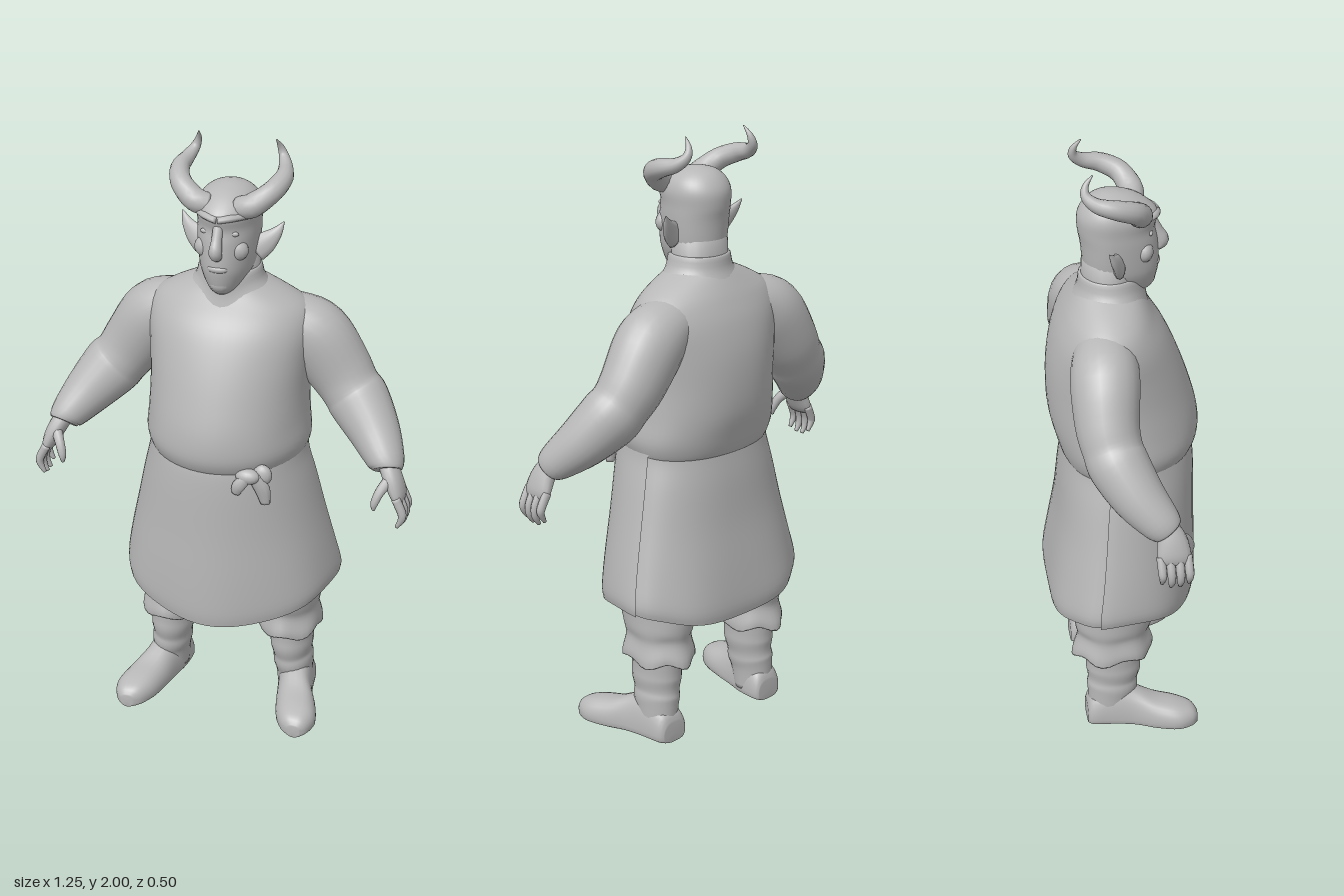
import * as THREE from 'three';

const TAU = Math.PI * 2;
const clay = new THREE.MeshStandardMaterial({ color: 0xb8b8b8, side: THREE.DoubleSide });
clay.name = 'clay grey';

// Smoothly resample a table of equally long rows (Catmull-Rom per column)
function smooth(rows, sub) {
  const out = [], at = i => rows[Math.max(0, Math.min(rows.length - 1, i))];
  for (let i = 0; i < rows.length - 1; i++)
    for (let s = 0; s < sub; s++) {
      const t = s / sub;
      out.push(rows[i].map((b, k) => {
        const a = at(i - 1)[k], c = at(i + 1)[k], d = at(i + 2)[k];
        return b + 0.5 * t * (c - a + t * (2 * a - 5 * b + 4 * c - d + t * (3 * (b - c) + d - a)));
      }));
    }
  out.push(rows[rows.length - 1]);
  return out;
}

// Skin rings of points; point(row, angle, index) gives [x, y, z]
function loft(rows, point, n = 32, { from = 0, to = TAU, caps = true } = {}) {
  const m = to - from > 6.28 ? n : n + 1;
  const pos = [], idx = [];
  rows.forEach((r, i) => {
    for (let j = 0; j < m; j++) pos.push(...point(r, from + (to - from) * j / n, i));
  });
  for (let i = 0; i < rows.length - 1; i++)
    for (let j = 0; j < n; j++) {
      const a = i * m + j, b = i * m + (j + 1) % m;
      idx.push(a, b, a + m, b, b + m, a + m);
    }
  const cap = (row, flip) => {
    const c = pos.length / 3, mid = [0, 0, 0];
    for (let j = 0; j < m; j++) for (let k = 0; k < 3; k++) mid[k] += pos[(row * m + j) * 3 + k] / m;
    pos.push(...mid);
    for (let j = 0; j < n; j++) {
      const a = row * m + j, b = row * m + (j + 1) % m;
      idx.push(c, flip ? b : a, flip ? a : b);
    }
  };
  if (caps) {
    cap(0, true);
    cap(rows.length - 1, false);
  }
  const g = new THREE.BufferGeometry();
  g.setAttribute('position', new THREE.Float32BufferAttribute(pos, 3));
  g.setIndex(idx);
  g.computeVertexNormals();
  return g;
}

// Tapered limb: rows are [x, y, z, side radius, radius along ref]
function limb(table, n = 16, ref = [0, 0, 1]) {
  const rows = smooth(table, 4);
  const P = rows.map(r => new THREE.Vector3(r[0], r[1], r[2]));
  const frames = P.map((p, i) => {
    const t = P[Math.min(i + 1, P.length - 1)].clone().sub(P[Math.max(i - 1, 0)]).normalize();
    const v = new THREE.Vector3(...ref);
    v.addScaledVector(t, -v.dot(t)).normalize();
    return { u: t.clone().cross(v), v };
  });
  return loft(rows, (r, a, i) => P[i].clone()
    .addScaledVector(frames[i].u, r[3] * Math.sin(a))
    .addScaledVector(frames[i].v, r[4] * Math.cos(a)).toArray(), n);
}

// Upright cross-section: [y, half width, front z, back z, centre z, back squareness]
function section([y, w, f, b, c = -0.03, p = 1], a) {
  const s = Math.sin(a), k = Math.cos(a);
  const z = k > 0 ? c + (f - c) * k : c - (c - b) * Math.pow(-k, p);
  return [w * Math.sign(s) * Math.pow(Math.abs(s), k < 0 ? p : 1), y, z];
}

export function createModel() {
  const model = new THREE.Group();
  const add = (name, g) => {
    const mesh = new THREE.Mesh(g, clay);
    mesh.name = name;
    model.add(mesh);
  };
  const pair = (name, g) => {
    add('left' + name, g);
    const r = g.clone().scale(-1, 1, 1), ix = r.index.array;
    for (let i = 0; i < ix.length; i += 3) [ix[i], ix[i + 1]] = [ix[i + 1], ix[i]];
    r.computeVertexNormals();
    add('right' + name, r);
  };
  const ball = (x, y, z, rx, ry, rz) => new THREE.SphereGeometry(1, 16, 12).scale(rx, ry, rz).translate(x, y, z);

  // Tunic body with the blouse sagging over the waist
  add('tunicBody', loft(smooth([
    [0.965, 0.24, 0.215, -0.185, -0.03, 0.9], [0.99, 0.257, 0.236, -0.198, -0.03, 0.9],
    [1.04, 0.269, 0.252, -0.213, -0.03, 0.9], [1.12, 0.262, 0.247, -0.232, -0.03, 0.92],
    [1.22, 0.258, 0.22, -0.238, -0.03, 0.92], [1.32, 0.264, 0.185, -0.232, -0.04, 0.92],
    [1.41, 0.272, 0.145, -0.212, -0.055, 0.92], [1.475, 0.255, 0.105, -0.185, -0.06, 0.95],
    [1.52, 0.195, 0.08, -0.16, -0.05, 1], [1.565, 0.1, 0.055, -0.13, -0.04, 1]], 4),
    (r, a) => {
      const [x, y, z] = section(r, a), pull = Math.max(0, 1.15 - y) * 0.12 * Math.cos(9 * a) * Math.max(0, y - 0.98) * 3;
      return [x * (1 + pull), y, z * (1 + pull)];
    }, 56));

  // Skirt: full back cloth and an overlapping front panel, hem dipping front and back
  const skirt = smooth([
    [0.485, 0.352, 0.235, -0.25, -0.07, 0.84, 1], [0.525, 0.356, 0.241, -0.253, -0.07, 0.84, 0.85],
    [0.62, 0.337, 0.241, -0.238, -0.06, 0.86, 0.5], [0.75, 0.307, 0.237, -0.216, -0.05, 0.88, 0.2],
    [0.88, 0.278, 0.235, -0.203, -0.04, 0.9, 0], [0.96, 0.258, 0.231, -0.193, -0.03, 0.9, 0],
    [1.0, 0.252, 0.225, -0.188, -0.03, 0.9, 0]], 4);
  const cloth = grow => (r, a) => {
    const k = r[6], c = Math.cos(a), f = grow * (1 + 0.014 * k * Math.cos(7 * a));
    const [x, y, z] = section(r, a);
    return [x * f, y - k * (c > 0 ? 0.075 : 0.06) * c * c, z * f];
  };
  add('skirtBack', loft(skirt, cloth(1), 56, { caps: false }));
  add('skirtFrontPanel', loft(skirt, cloth(1.025), 40, { from: -1.75, to: 1.75, caps: false }));

  // Waist tie: a bulky knot with loops and hanging ends
  add('tieKnot', ball(0.13, 0.985, 0.212, 0.04, 0.026, 0.026));
  add('tieLoop', ball(0.172, 0.985, 0.19, 0.032, 0.036, 0.022));
  add('tieEndInner', limb([[0.13, 0.985, 0.222, 0.018, 0.014], [0.105, 0.955, 0.228, 0.022, 0.014], [0.095, 0.925, 0.226, 0.014, 0.008]], 10));
  add('tieEndOuter', limb([[0.15, 0.985, 0.208, 0.022, 0.014], [0.175, 0.94, 0.2, 0.026, 0.016], [0.185, 0.885, 0.195, 0.016, 0.01]], 10));

  // Neck and standing collar with a pointed front
  add('neck', loft([[1.5, 0.1, 0.05, -0.125], [1.66, 0.092, 0.05, -0.12]], section, 28));
  add('collar', loft(smooth([
    [1.525, 0.15, 0.075, -0.155], [1.565, 0.112, 0.066, -0.136],
    [1.605, 0.1, 0.06, -0.13], [1.61, 0.092, 0.045, -0.122]], 3), (r, a) => {
    const [x, y, z] = section(r, a), dip = Math.max(0, Math.cos(a)) ** 6 * 0.035;
    return [x, y - dip, z + dip * 0.5];
  }, 36, { caps: false }));

  // Head with softly embedded face features
  add('head', loft(smooth([
    [1.545, 0.03, 0.085, 0, 0.04], [1.565, 0.055, 0.105, -0.06, 0.01], [1.61, 0.082, 0.118, -0.11, -0.02],
    [1.65, 0.092, 0.122, -0.117, -0.03], [1.72, 0.098, 0.117, -0.124, -0.03], [1.765, 0.099, 0.109, -0.132, -0.03],
    [1.81, 0.1, 0.118, -0.132, -0.03], [1.845, 0.086, 0.085, -0.114, -0.03], [1.87, 0.055, 0.04, -0.085, -0.03],
    [1.882, 0.015, -0.01, -0.045, -0.03]], 4), section, 36));
  add('nose', limb([[0, 1.785, 0.1, 0.016, 0.012], [0, 1.74, 0.117, 0.017, 0.018], [0, 1.705, 0.132, 0.021, 0.022], [0, 1.682, 0.116, 0.016, 0.014]], 12));
  add('mouth', ball(0, 1.642, 0.108, 0.034, 0.014, 0.018));
  add('chin', ball(0, 1.585, 0.084, 0.035, 0.032, 0.028));
  pair('Brow', limb([[0, 1.805, 0.11, 0.018, 0.012], [0.04, 1.81, 0.095, 0.018, 0.012], [0.08, 1.805, 0.05, 0.014, 0.01]], 10, [0, 1, 0]));
  pair('Cheek', ball(0.045, 1.695, 0.068, 0.042, 0.036, 0.03));
  pair('Eye', ball(0.042, 1.755, 0.088, 0.02, 0.009, 0.008));

  // Pointed ears
  pair('Ear', limb([[0.085, 1.665, -0.015, 0.04, 0.02], [0.115, 1.69, -0.025, 0.035, 0.016], [0.145, 1.72, -0.04, 0.019, 0.011], [0.165, 1.752, -0.055, 0.002, 0.002]], 12));

  // Curled horns, broad where they leave the forehead
  pair('Horn', limb([
    [0.045, 1.825, 0.045, 0.034, 0.034], [0.09, 1.838, 0.05, 0.038, 0.038], [0.142, 1.875, 0.022, 0.034, 0.034],
    [0.165, 1.9, -0.035, 0.03, 0.03], [0.158, 1.915, -0.09, 0.023, 0.023],
    [0.143, 1.94, -0.122, 0.016, 0.016], [0.132, 1.97, -0.122, 0.01, 0.01], [0.125, 2.0, -0.1, 0.002, 0.002]], 14, [0.5, 1, 0.3]));

  // Sleeves growing out of the shoulders, creased at the elbow
  pair('Sleeve', limb([
    [0.1, 1.425, -0.065, 0.075, 0.085], [0.19, 1.41, -0.075, 0.095, 0.1], [0.265, 1.365, -0.085, 0.116, 0.108],
    [0.34, 1.262, -0.09, 0.108, 0.1], [0.385, 1.2, -0.08, 0.098, 0.094], [0.42, 1.16, -0.065, 0.101, 0.095],
    [0.485, 1.085, -0.015, 0.083, 0.083],
    [0.538, 1.02, 0.045, 0.06, 0.064], [0.548, 0.998, 0.063, 0.046, 0.052]], 24));

  // Hands with four fingers and a thumb
  pair('Palm', limb([[0.545, 1.02, 0.055, 0.03, 0.035], [0.57, 0.975, 0.073, 0.03, 0.047], [0.59, 0.93, 0.078, 0.024, 0.053], [0.598, 0.905, 0.078, 0.014, 0.045]], 16));
  for (let i = 0; i < 4; i++) {
    const z = 0.036 + i * 0.028, drop = [0.015, 0, 0, 0.01][i];
    pair('Finger' + (i + 1), limb([
      [0.59, 0.93, z, 0.015, 0.014], [0.612, 0.885, z + 0.003, 0.014, 0.014],
      [0.613, 0.85 + drop, z + 0.004, 0.012, 0.012], [0.598, 0.82 + drop, z + 0.004, 0.006, 0.006]], 10));
  }
  pair('Thumb', limb([[0.565, 0.985, 0.09, 0.02, 0.02], [0.54, 0.95, 0.125, 0.016, 0.016], [0.527, 0.915, 0.14, 0.013, 0.013], [0.525, 0.89, 0.142, 0.005, 0.005]], 10));

  // Baggy trousers gathered into a ragged cuff
  add('trouserSeat', ball(0, 0.58, -0.03, 0.27, 0.13, 0.17));
  pair('TrouserLeg', loft(smooth([
    [0.285, 0.104, 0.075, -0.19, -0.06], [0.31, 0.104, 0.075, -0.188, -0.06], [0.36, 0.095, 0.064, -0.174, -0.06],
    [0.4, 0.102, 0.076, -0.182, -0.06], [0.46, 0.106, 0.09, -0.185, -0.05], [0.6, 0.12, 0.1, -0.18, -0.04]], 4),
    (r, a, i) => {
      const [x, y, z] = section(r, a), e = Math.max(0, 1 - i / 12);
      const f = 1 + 0.045 * e * Math.cos(6 * a + 0.5);
      return [0.208 - 0.02 * (y - 0.3) + x * f, y + 0.01 * e * Math.cos(5 * a), -0.06 + (z + 0.06) * f];
    }, 36));

  // Boots: slouching shaft, then a foot turned slightly outward
  pair('BootShaft', limb([
    [0.225, 0.03, -0.07, 0.06, 0.07], [0.223, 0.1, -0.065, 0.063, 0.078], [0.22, 0.14, -0.06, 0.068, 0.086],
    [0.217, 0.17, -0.058, 0.066, 0.084], [0.215, 0.21, -0.055, 0.073, 0.092],
    [0.214, 0.25, -0.055, 0.073, 0.092], [0.213, 0.33, -0.055, 0.078, 0.097]], 24));
  pair('BootFoot', loft(smooth([
    [-0.148, 0.222, 0.045, 0.07], [-0.13, 0.224, 0.06, 0.11], [-0.06, 0.23, 0.063, 0.15], [0.01, 0.245, 0.062, 0.13],
    [0.08, 0.267, 0.07, 0.1], [0.15, 0.285, 0.069, 0.085], [0.2, 0.292, 0.047, 0.068], [0.22, 0.296, 0.02, 0.045]], 4),
    ([z, x, w, h], a) => {
      const s = Math.sin(a), c = Math.cos(a);
      return [x + w * Math.sign(c) * Math.abs(c) ** 0.75, s > 0 ? 0.03 + (h - 0.03) * s : 0.03 - 0.03 * Math.abs(s) ** 0.5, z];
    }, 28));

  return model;
}
